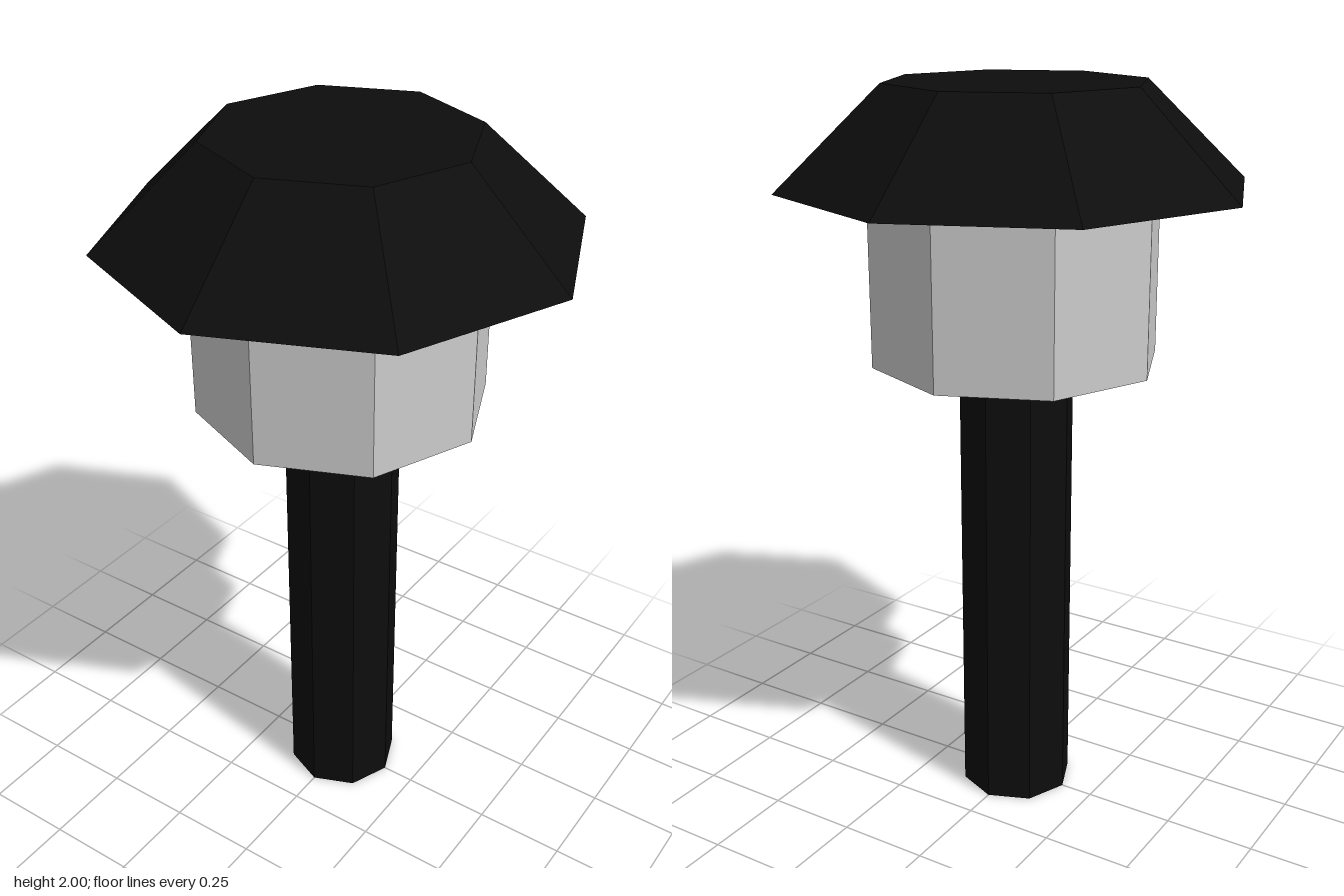
import * as THREE from 'three';

const SIDES = 8;

export function createModel() {
  const group = new THREE.Group();
  const black = new THREE.MeshStandardMaterial({ color: 0x0d0d0d, flatShading: true });
  const grey = new THREE.MeshStandardMaterial({ color: 0xcccccc, flatShading: true });

  // Octagonal prism or frustum between two heights, corners on the axes
  const addPrism = (name, rTop, rBottom, y0, y1, material) => {
    const mesh = new THREE.Mesh(new THREE.CylinderGeometry(rTop, rBottom, y1 - y0, SIDES), material);
    mesh.position.y = (y0 + y1) / 2;
    mesh.name = name;
    group.add(mesh);
  };

  addPrism('post', 0.157, 0.157, 0, 1.275, black);
  addPrism('lampBody', 0.39, 0.39, 1.275, 1.737, grey);
  addPrism('cap', 0.347, 0.625, 1.737, 2, black);

  return group;
}
